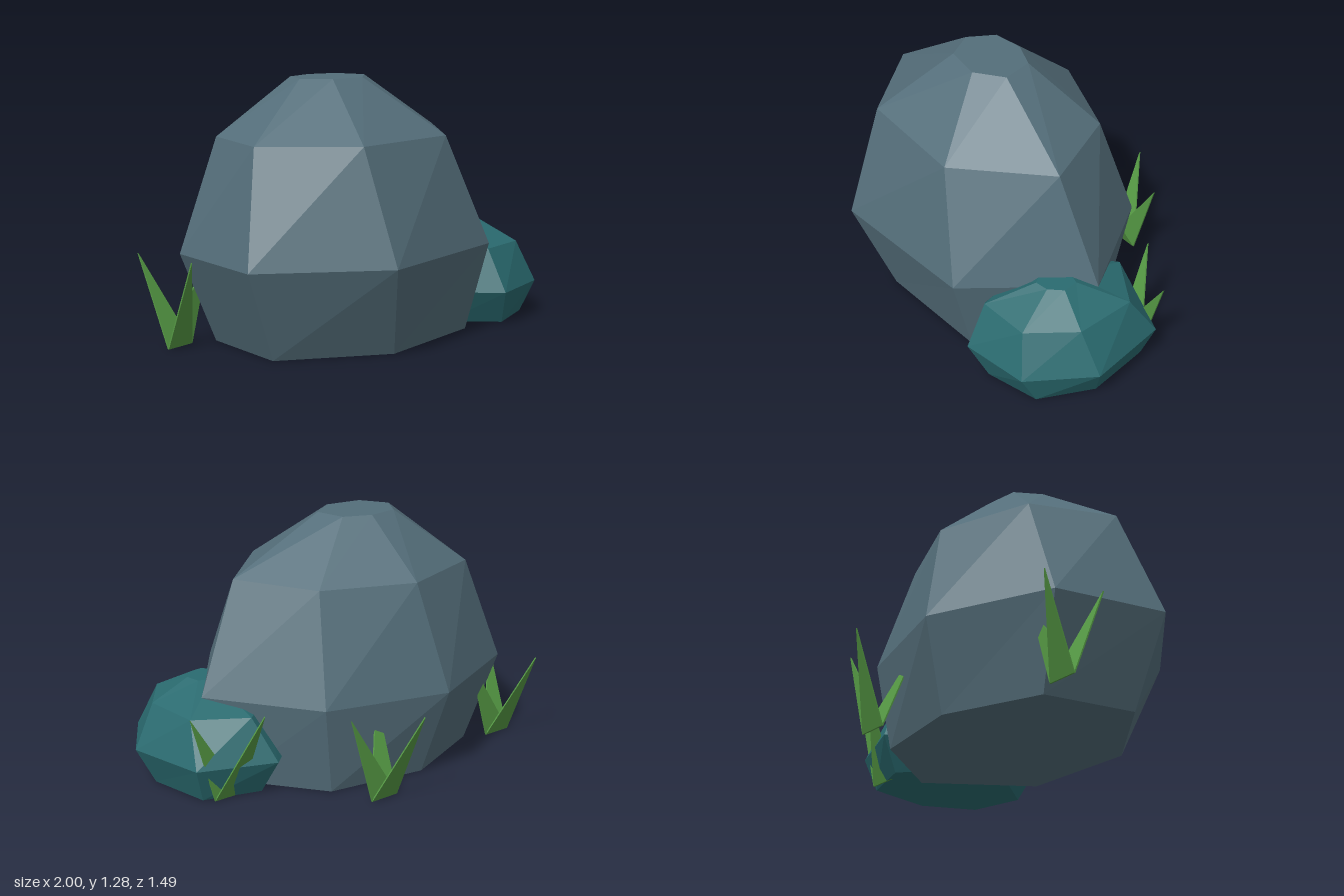
import * as THREE from 'three';

const material = (color) => new THREE.MeshStandardMaterial({ color, flatShading: true });

// Faceted boulder: rings of [x, z] corners (clockwise from above) stacked at given heights
function boulder(name, color, levels) {
  const rings = levels.map(([y, pts]) => pts.map(([x, z]) => [x, y, z]));
  const n = rings[0].length;
  const pos = [];
  const tri = (a, b, c) => pos.push(...a, ...b, ...c);
  for (let r = 0; r < rings.length - 1; r++) {
    for (let i = 0; i < n; i++) {
      const j = (i + 1) % n;
      const lo = rings[r], hi = rings[r + 1];
      tri(lo[j], lo[i], hi[i]);
      tri(lo[j], hi[i], hi[j]);
    }
  }
  // flat bottom and top
  const bottom = rings[0], top = rings[rings.length - 1];
  for (let i = 1; i < n - 1; i++) {
    tri(bottom[0], bottom[i], bottom[i + 1]);
    tri(top[0], top[i + 1], top[i]);
  }
  const geometry = new THREE.BufferGeometry();
  geometry.setAttribute('position', new THREE.Float32BufferAttribute(pos, 3));
  geometry.computeVertexNormals();
  const mesh = new THREE.Mesh(geometry, material(color));
  mesh.name = name;
  return mesh;
}

// Thin triangular grass blade, sheared in z so it leans forward or back
function blade(name, tipX, leanZ, mat) {
  const height = 0.45, thickness = 0.008;
  const shape = new THREE.Shape([
    new THREE.Vector2(0, 0), new THREE.Vector2(0.16, 0), new THREE.Vector2(tipX, height),
  ]);
  const geometry = new THREE.ExtrudeGeometry(shape, { depth: thickness, bevelEnabled: false });
  const p = geometry.attributes.position;
  for (let i = 0; i < p.count; i++) {
    p.setZ(i, p.getZ(i) - thickness / 2 + (leanZ * p.getY(i)) / height);
  }
  geometry.computeVertexNormals();
  const mesh = new THREE.Mesh(geometry, mat);
  mesh.name = name;
  return mesh;
}

export function createModel() {
  const model = new THREE.Group();
  model.name = 'rocksWithGrass';

  model.add(boulder('largeRock', 0x546e7a, [
    [0, [[-0.2, -0.43], [0.32, -0.345], [0.62, 0.08], [0.28, 0.58], [-0.34, 0.6], [-0.8, 0.24], [-0.69, -0.23]]],
    [0.45, [[-0.25, -0.57], [0.39, -0.39], [0.74, 0.15], [0.305, 0.7], [-0.5, 0.74], [-1, 0.27], [-0.86, -0.3]]],
    [1, [[-0.16, -0.42], [0.3, -0.23], [0.5, 0.2], [0.1, 0.575], [-0.5, 0.54], [-0.82, 0.15], [-0.64, -0.26]]],
    [1.28, [[-0.15, -0.09], [-0.01, -0.03], [0.02, 0.13], [-0.12, 0.23], [-0.31, 0.2], [-0.39, 0.06], [-0.31, -0.07]]],
  ]));

  model.add(boulder('smallRock', 0x2a6b70, [
    [0, [[0.58, -0.12], [0.87, -0.03], [0.92, 0.31], [0.79, 0.58], [0.51, 0.65], [0.33, 0.42], [0.36, 0.08]]],
    [0.175, [[0.55, -0.22], [0.93, -0.07], [1, 0.36], [0.79, 0.67], [0.435, 0.72], [0.22, 0.43], [0.27, 0.03]]],
    [0.39, [[0.62, -0.1], [0.87, 0.06], [0.88, 0.38], [0.71, 0.6], [0.435, 0.61], [0.38, 0.4], [0.42, 0.07]]],
    [0.5, [[0.62, 0.23], [0.69, 0.25], [0.7, 0.33], [0.64, 0.39], [0.57, 0.4], [0.53, 0.34], [0.56, 0.27]]],
  ]));

  // Three tufts, each with one upright and two leaning blades
  const green = material(0x559944);
  for (const [x, z] of [[-0.96, -0.288], [0.085, -0.563], [0.67, -0.075]]) {
    const tuft = new THREE.Group();
    tuft.name = 'grassTuft';
    tuft.add(
      blade('uprightBlade', 0.29, 0, green),
      blade('backBlade', -0.015, -0.18, green),
      blade('frontBlade', -0.015, 0.18, green),
    );
    tuft.position.set(x, 0, z);
    model.add(tuft);
  }
  return model;
}
